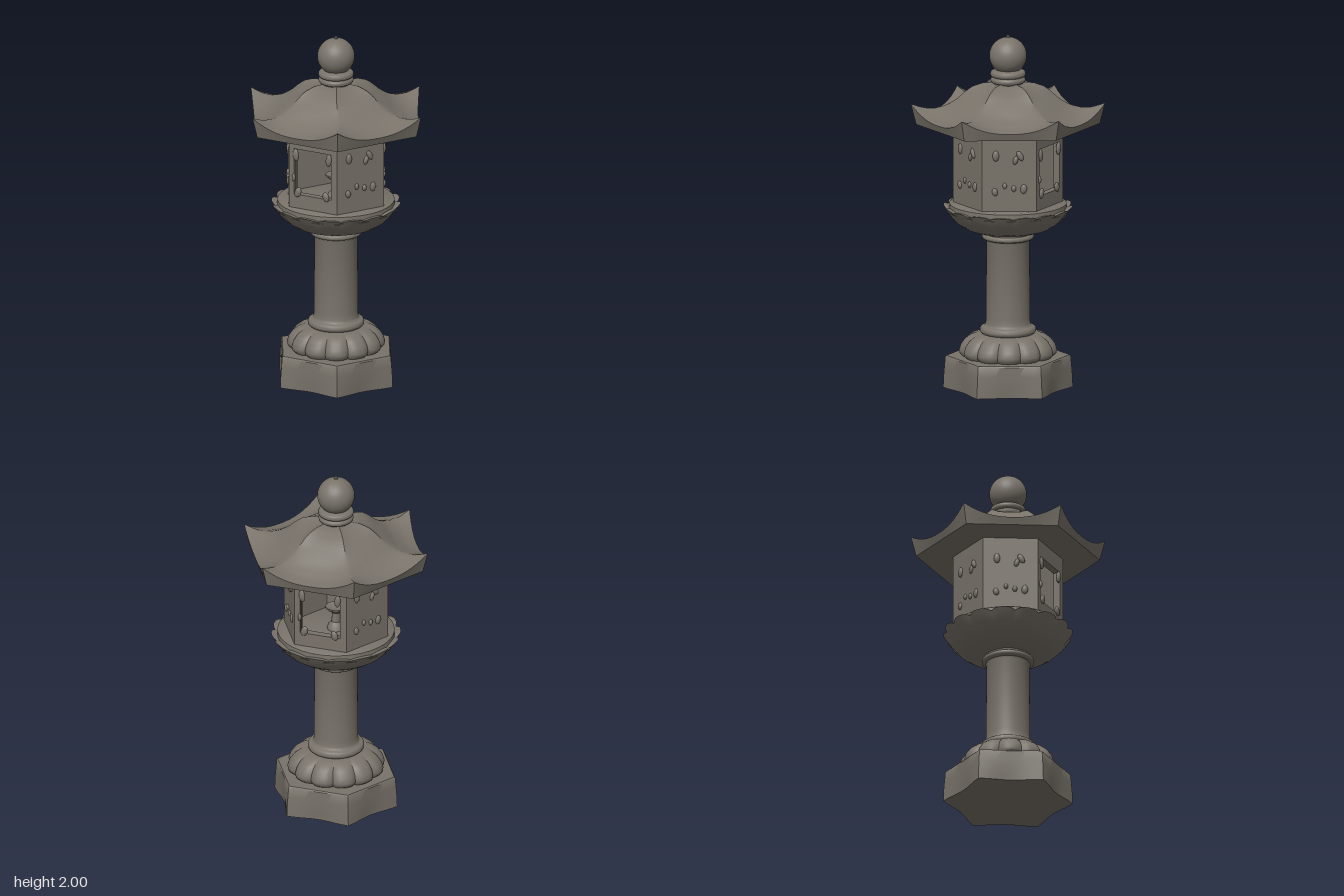
import * as THREE from 'three';
import { toCreasedNormals } from 'three/addons/utils/BufferGeometryUtils.js';

const stone = new THREE.MeshStandardMaterial({ color: 0x79736a });
stone.name = 'stone';

function add(parent, name, geometry) {
  const mesh = new THREE.Mesh(geometry, stone);
  mesh.name = name;
  parent.add(mesh);
  return mesh;
}

// Closed surface around the y axis: point(row, theta) gives [radius, height]
function loft(rows, n, point, crease = 0.6) {
  const pos = [], index = [];
  rows.forEach((row) => {
    for (let i = 0; i < n; i++) {
      const t = (i / n) * Math.PI * 2;
      const [r, y] = point(row, t);
      pos.push(r * Math.cos(t), y, r * Math.sin(t));
    }
  });
  for (let j = 0; j < rows.length - 1; j++) {
    for (let i = 0; i < n; i++) {
      const k = (i + 1) % n;
      const a = j * n + i, b = j * n + k, c = a + n, d = b + n;
      index.push(a, c, b, b, c, d);
    }
  }
  const g = new THREE.BufferGeometry();
  g.setAttribute('position', new THREE.Float32BufferAttribute(pos, 3));
  g.setIndex(index);
  return toCreasedNormals(g, crease);
}

// Hexagon with corners on the x axis: radius factor, and place along the side (-1..1)
function hex(t) {
  const sixth = Math.PI / 3;
  const a = (((t % sixth) + sixth) % sixth) - sixth / 2;
  return { k: Math.cos(sixth / 2) / Math.cos(a), s: Math.tan(a) / Math.tan(sixth / 2) };
}

const lathe = (points, n = 48) =>
  toCreasedNormals(new THREE.LatheGeometry(points.map(([x, y]) => new THREE.Vector2(x, y)), n), 0.7);

// Interpolate a list of [x, y] points
function sample(points, x) {
  let i = 1;
  while (i < points.length - 1 && points[i][0] < x) i++;
  const [x0, y0] = points[i - 1], [x1, y1] = points[i];
  return y0 + ((y1 - y0) * (x - x0)) / (x1 - x0);
}

// Points of a half-round moulding
function roll(r, bulge, y0, y1) {
  return Array.from({ length: 9 }, (_, i) => {
    const a = (i / 8) * Math.PI;
    return [r + bulge * Math.sin(a), (y0 + y1) / 2 - ((y1 - y0) / 2) * Math.cos(a)];
  });
}

function buildRoof() {
  const ridge = [[0, 1.738], [0.14, 1.73], [0.2, 1.71], [0.24, 1.68], [0.28, 1.643], [0.34, 1.605],
    [0.41, 1.587], [0.47, 1.59], [0.54, 1.612]];
  const panel = [[0, 1.735], [0.14, 1.722], [0.22, 1.69], [0.3, 1.64], [0.38, 1.585], [0.46, 1.55], [0.54, 1.535]];
  const rows = [{ r: 0.001, y: 1.495 }, { r: 0.51, y: 1.495 }];
  for (let i = 0; i <= 20; i++) rows.push({ r: 0.54 - i * 0.0265, top: true });
  return loft(rows, 96, (row, t) => {
    const { k, s } = hex(t);
    if (!row.top) return [row.r * k, row.y];
    const w = Math.pow(Math.abs(s), 2.4);
    const y = sample(panel, row.r) * (1 - w) + sample(ridge, row.r) * w;
    return [row.r * k * (1 - 0.025 * (1 - s * s) * (row.r / 0.54)), y];
  }, 0.6);
}

// One chamber wall, built facing +z
function buildWall(open) {
  const wall = new THREE.Group();
  wall.name = open ? 'windowWall' : 'solidWall';
  const w = 0.1525, apothem = 0.264, depth = 0.04;
  const shape = new THREE.Shape();
  shape.moveTo(-w, 1.04).lineTo(w, 1.04).lineTo(w, 1.5).lineTo(-w, 1.5).closePath();
  if (open) {
    const hole = new THREE.Path();
    hole.moveTo(-0.12, 1.135).lineTo(-0.12, 1.4).lineTo(0.115, 1.4).lineTo(0.115, 1.135).closePath();
    shape.holes.push(hole);
  }
  add(wall, 'panel', new THREE.ExtrudeGeometry(shape, { depth, bevelEnabled: false }))
    .position.z = apothem - depth;
  // Carved buds: x, y, half width, half height, tilt
  const buds = open
    ? [[-0.108, 1.365, 0.018, 0.036, 0.1], [0.1, 1.365, 0.018, 0.036, -0.1], [-0.095, 1.148, 0.02, 0.03, -0.3],
      [0.082, 1.148, 0.02, 0.028, 0.3], [-0.122, 1.23, 0.01, 0.022, 0]]
    : [[-0.075, 1.37, 0.018, 0.03, 0], [0.035, 1.345, 0.014, 0.025, -0.3], [0.06, 1.37, 0.016, 0.03, 0.5],
      [-0.08, 1.165, 0.016, 0.022, 0.2], [-0.025, 1.2, 0.012, 0.017, 0], [0.025, 1.185, 0.013, 0.018, 0],
      [0.08, 1.182, 0.018, 0.027, -0.1]];
  buds.forEach(([x, y, rx, ry, tilt]) => {
    const bud = add(wall, 'carvedBud', new THREE.SphereGeometry(1, 14, 10));
    bud.position.set(x, y, apothem);
    bud.scale.set(rx, ry, 0.012);
    bud.rotation.z = tilt;
  });
  return wall;
}

export function createModel() {
  const lantern = new THREE.Group();
  lantern.name = 'stoneLantern';

  // Hexagonal plinth with sides hollowed slightly towards the ground
  const plinth = [[0.001, 0], [0.36, 0], [0.358, 0.06], [0.353, 0.12], [0.348, 0.175], [0.342, 0.182], [0.001, 0.182]];
  add(lantern, 'plinth', loft(plinth, 72, ([r, y], t) => {
    const { k, s } = hex(t);
    const hollow = r > 0.3 ? 0.018 * Math.max(0, 1 - y / 0.15) * Math.pow(Math.cos((s * Math.PI) / 2), 2) : 0;
    return [r * k - hollow, y];
  }));

  // Petalled foot
  const foot = [[0.25, 0.18], [0.268, 0.195], [0.272, 0.215], [0.262, 0.245], [0.24, 0.275], [0.21, 0.298],
    [0.17, 0.31], [0.001, 0.31]];
  add(lantern, 'petalFoot', loft(foot, 144, ([r, y], t) => {
    const lobe = Math.abs(Math.cos(6 * t));
    return [r * (1 - (r > 0.18 ? 0.09 : 0.02) * Math.pow(1 - lobe, 1.5)), y];
  }, 0.9));

  // Column with its mouldings
  add(lantern, 'column', lathe([
    [0.13, 0.305], ...roll(0.135, 0.022, 0.308, 0.352), [0.128, 0.358], [0.124, 0.37], [0.122, 0.4], [0.12, 0.83],
    [0.124, 0.842], ...roll(0.13, 0.015, 0.845, 0.875), [0.13, 0.89],
  ]));

  // Petalled bowl with a scalloped rim
  const bowl = [[0.001, 0.885], [0.14, 0.885], [0.19, 0.894], [0.24, 0.912], [0.285, 0.942], [0.32, 0.978],
    [0.345, 1.012], [0.36, 1.034], [0.345, 1.032], [0.325, 1.028]];
  add(lantern, 'bowl', loft(bowl, 192, ([r, y], t) => {
    const dip = Math.pow(1 - Math.abs(Math.cos(8 * t)), 1.5);
    const f = Math.max(0, (r - 0.14) / 0.22);
    return [r * (1 - 0.05 * f * dip), y - 0.014 * f * f * dip];
  }, 0.8));
  add(lantern, 'bowlTop', lathe([[0.345, 1.012], [0.327, 1.02], [0.325, 1.048], [0.315, 1.055], [0, 1.055]]));

  // Hexagonal lamp chamber, open at front and back
  const chamber = new THREE.Group();
  chamber.name = 'lampChamber';
  for (let i = 0; i < 6; i++) {
    const wall = buildWall(i % 3 === 0);
    wall.rotation.y = (i * Math.PI) / 3;
    chamber.add(wall);
  }
  lantern.add(chamber);

  // Small oil dish inside
  add(lantern, 'oilDish', lathe([
    [0.05, 1.05], [0.045, 1.08], [0.025, 1.1], [0.022, 1.155], [0.035, 1.165], [0.06, 1.185], [0.058, 1.192],
    [0.03, 1.178], [0, 1.175],
  ], 24));

  add(lantern, 'roof', buildRoof());

  // Finial: two rolls, a ball and a small tip
  const ball = Array.from({ length: 21 }, (_, i) => {
    const a = -0.85 + (i / 20) * (0.85 + 1.46);
    return [0.104 * Math.cos(a), 1.884 + 0.104 * Math.sin(a)];
  });
  add(lantern, 'finial', lathe([
    [0.08, 1.725], ...roll(0.085, 0.012, 1.732, 1.762), ...roll(0.083, 0.016, 1.764, 1.8),
    ...ball, [0.011, 1.996], [0.007, 2.0], [0, 2.0],
  ]));

  return lantern;
}
